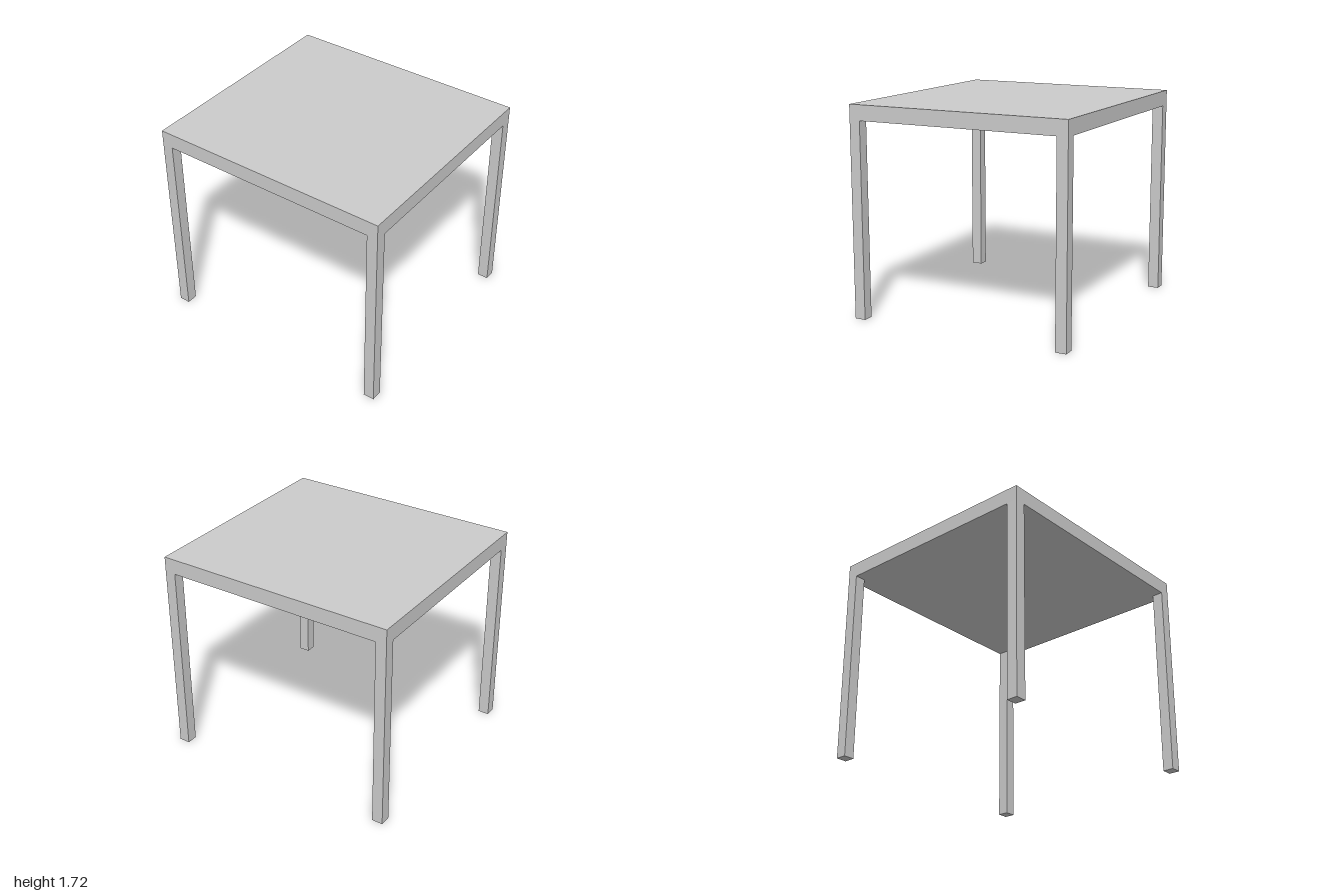
import * as THREE from 'three';

const WIDTH = 2, DEPTH = 1.85, HEIGHT = 1.72;
const TOP = 0.125; // tabletop thickness
const LEG = 0.09; // leg thickness

export function createModel() {
  const group = new THREE.Group();
  group.name = 'table';
  const material = new THREE.MeshStandardMaterial({ color: 0xcccccc });

  const addBox = (name, w, h, d, x, y, z) => {
    const mesh = new THREE.Mesh(new THREE.BoxGeometry(w, h, d), material);
    mesh.name = name;
    mesh.position.set(x, y, z);
    group.add(mesh);
  };

  // Solid slab tabletop
  addBox('tabletop', WIDTH, TOP, DEPTH, 0, HEIGHT - TOP / 2, 0);

  // Square legs flush with the corners
  const legHeight = HEIGHT - TOP;
  for (const [zName, sz] of [['front', 1], ['back', -1]]) {
    for (const [xName, sx] of [['Left', 1], ['Right', -1]]) {
      addBox(`${zName}${xName}Leg`, LEG, legHeight, LEG,
        sx * (WIDTH - LEG) / 2, legHeight / 2, sz * (DEPTH - LEG) / 2);
    }
  }
  return group;
}
